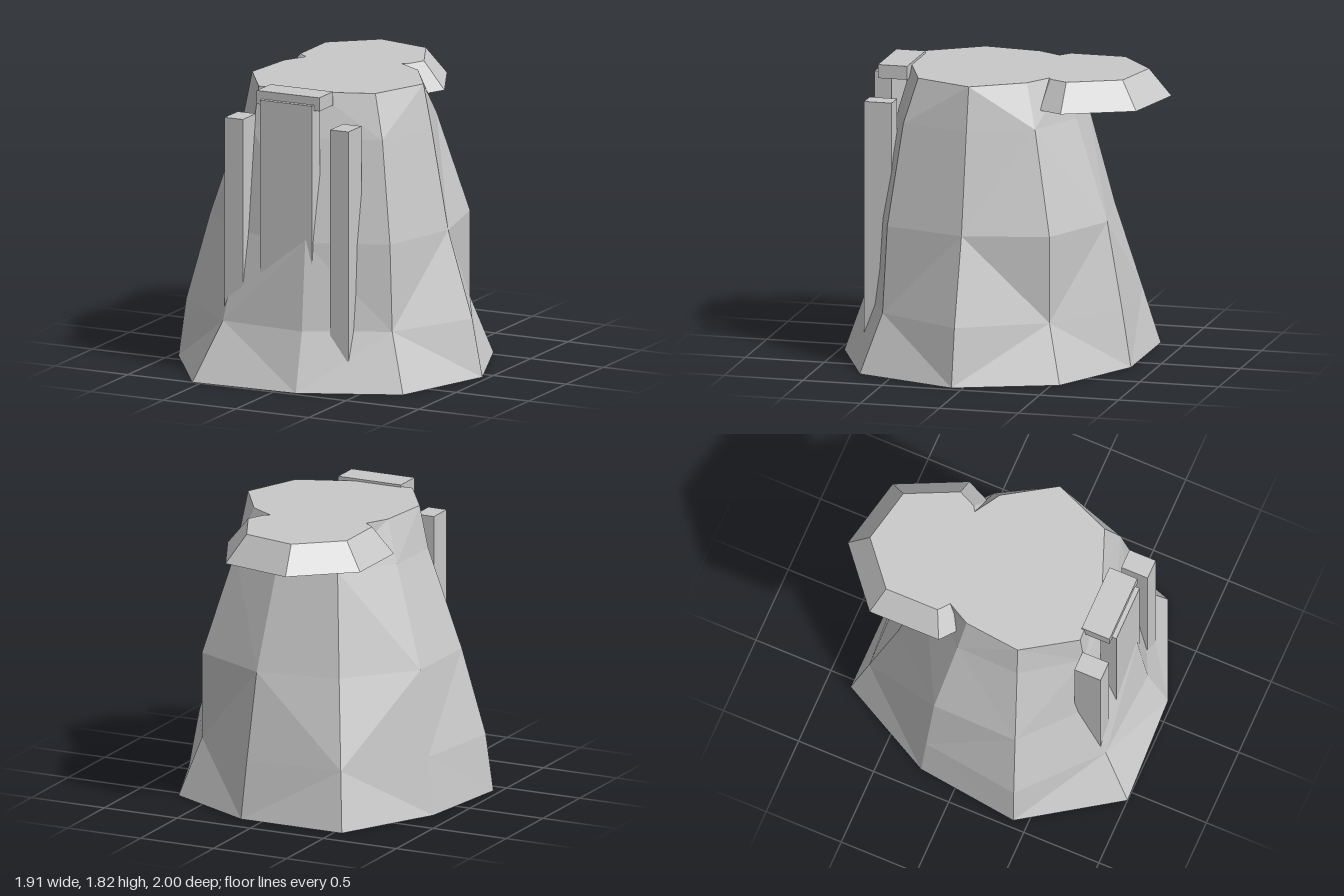
import * as THREE from 'three';

const stone = new THREE.MeshStandardMaterial({ color: 0xc8c8c8 });
stone.name = 'stoneGrey';

// Closed solid from stacked rings of [x, y, z] points, faceted, with diagonals in a diamond pattern
function loft(rings) {
  const n = rings[0].length;
  const pos = [];
  const tri = (...pts) => pts.forEach((p) => pos.push(...p));
  for (let j = 0; j < rings.length - 1; j++) {
    for (let i = 0; i < n; i++) {
      const k = (i + 1) % n;
      const a = rings[j][i], b = rings[j][k], c = rings[j + 1][i], d = rings[j + 1][k];
      if ((i + j) % 2 === 0) {
        tri(a, d, b);
        tri(a, c, d);
      } else {
        tri(a, c, b);
        tri(b, c, d);
      }
    }
  }
  const bottom = rings[0], top = rings[rings.length - 1];
  for (let i = 1; i < n - 1; i++) {
    tri(bottom[0], bottom[i], bottom[i + 1]);
    tri(top[0], top[i + 1], top[i]);
  }
  const geo = new THREE.BufferGeometry();
  geo.setAttribute('position', new THREE.Float32BufferAttribute(pos, 3));
  geo.computeVertexNormals();
  return geo;
}

export function createModel() {
  const group = new THREE.Group();
  const add = (name, geo, x = 0, y = 0, z = 0) => {
    const mesh = new THREE.Mesh(geo, stone);
    mesh.name = name;
    mesh.position.set(x, y, z);
    group.add(mesh);
  };
  // Box given by its limits on each axis
  const block = (name, x0, x1, y0, y1, z0, z1) =>
    add(name, new THREE.BoxGeometry(x1 - x0, y1 - y0, z1 - z0),
      (x0 + x1) / 2, (y0 + y1) / 2, (z0 + z1) / 2);

  // Nine-sided tapering rock: height, then the radius of each ridge, starting at 200 degrees
  const levels = [
    [0, [0.906, 1.06, 0.93, 0.964, 0.98, 0.995, 0.914, 1.074, 0.994]],
    [0.36, [0.86, 0.945, 0.87, 0.817, 0.91, 0.825, 0.787, 0.85, 0.947]],
    [0.9, [0.79, 0.77, 0.77, 0.817, 0.745, 0.79, 0.72, 0.715, 0.8]],
    [1.53, [0.58, 0.6, 0.56, 0.607, 0.63, 0.67, 0.58, 0.63, 0.593]],
    [1.8, [0.5, 0.58, 0.5, 0.49, 0.575, 0.56, 0.5, 0.59, 0.54]],
  ];
  add('rockTower', loft(levels.map(([y, radii]) => radii.map((r, i) => {
    const a = ((200 + i * 40) * Math.PI) / 180;
    return [-0.02 + r * Math.cos(a), y, 0.07 + r * Math.sin(a)];
  }))));

  // Overhanging ledge at the back, its top shrunk towards its centre
  const outline = [[-0.51, -0.165], [-0.6, -0.24], [-0.6, -0.7], [-0.24, -1],
    [0.22, -0.9], [0.42, -0.475], [0.35, -0.325], [0, -0.13]];
  const cx = -0.13, cz = -0.47, k = 0.745;
  add('overhangLedge', loft([
    outline.map(([x, z]) => [x, 1.63, z]),
    outline.map(([x, z]) => [cx + k * (x - cx), 1.8, cz + k * (z - cz)]),
  ]));

  // Pillars and capped slab at the front
  block('rightPillar', -0.45, -0.325, 0.15, 1.63, 0.6, 0.775);
  block('leftPillar', 0.275, 0.4, 0.1, 1.63, 0.6, 0.775);
  block('frontSlab', -0.208, 0.15, 0.3, 1.765, 0.67, 0.775);
  block('slabCap', -0.245, 0.185, 1.73, 1.815, 0.56, 0.745);
  return group;
}
